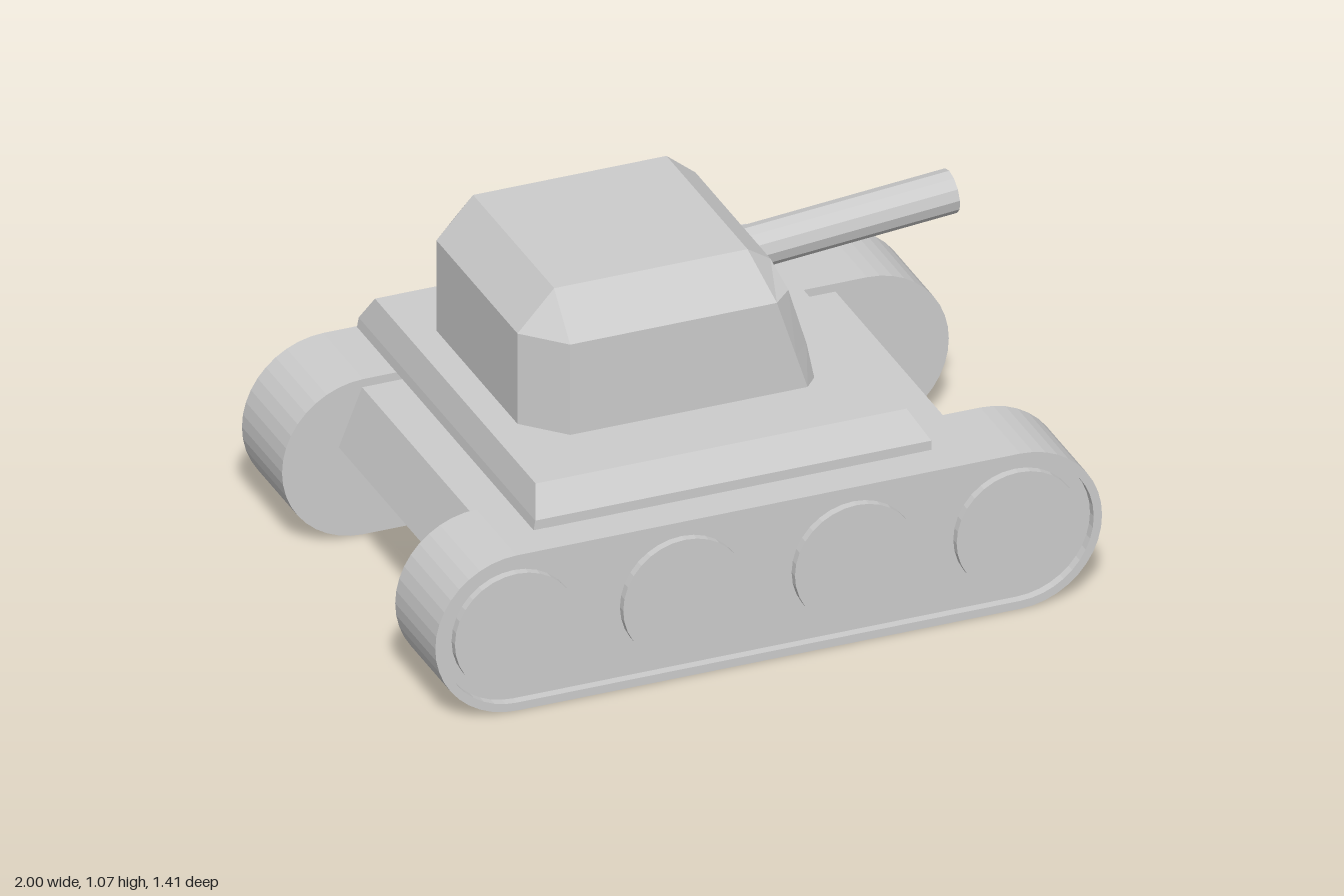
import * as THREE from 'three';

const material = new THREE.MeshStandardMaterial({ color: 0xcccccc, flatShading: true });
const MID_Z = 0.015; // centre plane of hull and turret

function addMesh(parent, name, geometry, mat = material) {
  const mesh = new THREE.Mesh(geometry, mat);
  mesh.name = name;
  parent.add(mesh);
  return mesh;
}

// Capped loft; each level lists its +z half as [x, y, z] from back to gun end, mirrored to -z
function loftHalves(levels) {
  const n = levels[0].length, count = n * 2;
  const positions = [], index = [];
  for (const half of levels) {
    for (const p of half) positions.push(...p);
    for (const [x, y, z] of [...half].reverse()) positions.push(x, y, -z);
  }
  const quad = (a, b, c, d) => index.push(a, b, c, a, c, d);
  for (let l = 0; l < levels.length - 1; l++) {
    for (let i = 0; i < count; i++) {
      const a = l * count + i, b = l * count + (i + 1) % count;
      quad(a, b, b + count, a + count);
    }
  }
  const top = (levels.length - 1) * count;
  for (let k = 0; k < n - 1; k++) {
    const m = count - 1 - k;
    quad(top + k, top + k + 1, top + m - 1, top + m);
    quad(m, m - 1, k + 1, k);
  }
  const geometry = new THREE.BufferGeometry();
  geometry.setAttribute('position', new THREE.Float32BufferAttribute(positions, 3));
  geometry.setIndex(index);
  const flat = geometry.toNonIndexed();
  flat.computeVertexNormals();
  return flat;
}

// Stadium outline used for the track and its rim
function stadium(PathType, inset) {
  const r = 0.245 - inset, path = new PathType();
  path.absarc(0.755, 0.245, r, -Math.PI / 2, Math.PI / 2, false);
  path.absarc(-0.755, 0.245, r, Math.PI / 2, Math.PI * 1.5, false);
  path.closePath();
  return path;
}

const extrude = (shape, depth) =>
  new THREE.ExtrudeGeometry(shape, { depth, bevelEnabled: false, curveSegments: 10 });

// Track running along x, outer side towards local +z
function createTrack(name, wheelTop, wheelXs) {
  const track = new THREE.Group();
  track.name = name;
  addMesh(track, 'trackBody', extrude(stadium(THREE.Shape, 0), 0.26));
  const rimShape = stadium(THREE.Shape, 0);
  rimShape.holes.push(stadium(THREE.Path, 0.025));
  addMesh(track, 'trackRim', extrude(rimShape, 0.027)).position.z = 0.26;
  for (const x of wheelXs) {
    const wheel = addMesh(track, 'roadWheel', new THREE.CylinderGeometry(0.185, 0.185, 0.1, 32));
    wheel.rotation.x = Math.PI / 2;
    wheel.position.set(x, 0.245, wheelTop - 0.05);
  }
  return track;
}

export function createModel() {
  const model = new THREE.Group();
  model.name = 'tank';

  // Tracks
  const wheelXs = [-0.755, -0.25, 0.265, 0.75];
  const frontTrack = createTrack('frontTrack', 0.284, wheelXs);
  frontTrack.position.z = 0.42;
  const backTrack = createTrack('backTrack', 0.315, wheelXs.map(x => -x));
  backTrack.position.z = -0.39;
  backTrack.rotation.y = Math.PI;
  model.add(frontTrack, backTrack);

  const body = new THREE.Group();
  body.name = 'body';
  body.position.z = MID_Z;
  model.add(body);

  // Hull between the tracks
  addMesh(body, 'hull', loftHalves([
    [[-0.7, 0.2, 0.41], [0.6, 0.2, 0.41]],
    [[-0.83, 0.29, 0.41], [0.73, 0.29, 0.41]],
    [[-0.76, 0.465, 0.41], [0.66, 0.465, 0.41]],
  ]));

  // Deck on a slightly narrower base
  addMesh(body, 'deckBase', new THREE.BoxGeometry(1.08, 0.07, 1.155)).position.set(-0.08, 0.495, 0);
  addMesh(body, 'deck', loftHalves([
    [[-0.68, 0.523, 0.632], [0.513, 0.523, 0.632]],
    [[-0.675, 0.552, 0.632], [0.513, 0.552, 0.632]],
    [[-0.65, 0.635, 0.575], [0.463, 0.635, 0.575]],
  ]));

  // Hexagonal turret ring
  addMesh(body, 'turretRing', new THREE.CylinderGeometry(0.288, 0.288, 0.05, 6)).position.set(-0.238, 0.65, 0);

  // Turret with chamfered corners and a sloping gun face
  addMesh(body, 'turret', loftHalves([
    [[-0.585, 0.665, 0.29], [-0.475, 0.665, 0.405], [0.237, 0.665, 0.405], [0.275, 0.665, 0.362]],
    [[-0.585, 0.77, 0.29], [-0.475, 0.77, 0.405], [0.203, 0.77, 0.405], [0.257, 0.77, 0.35]],
    [[-0.585, 0.95, 0.29], [-0.475, 0.95, 0.405], [0.145, 0.95, 0.405], [0.203, 0.95, 0.348]],
    [[-0.475, 1.07, 0.29], [-0.475, 1.07, 0.29], [0.105, 1.07, 0.29], [0.183, 1.012, 0.268]],
  ]));

  // Gun, tilted slightly upward
  const start = new THREE.Vector3(0.1, 0.89, 0), end = new THREE.Vector3(0.837, 0.952, 0);
  const gun = addMesh(body, 'gunBarrel', new THREE.CylinderGeometry(0.064, 0.064, start.distanceTo(end), 12));
  gun.position.copy(start).lerp(end, 0.5);
  gun.quaternion.setFromUnitVectors(new THREE.Vector3(0, 1, 0), end.clone().sub(start).normalize());

  return model;
}
